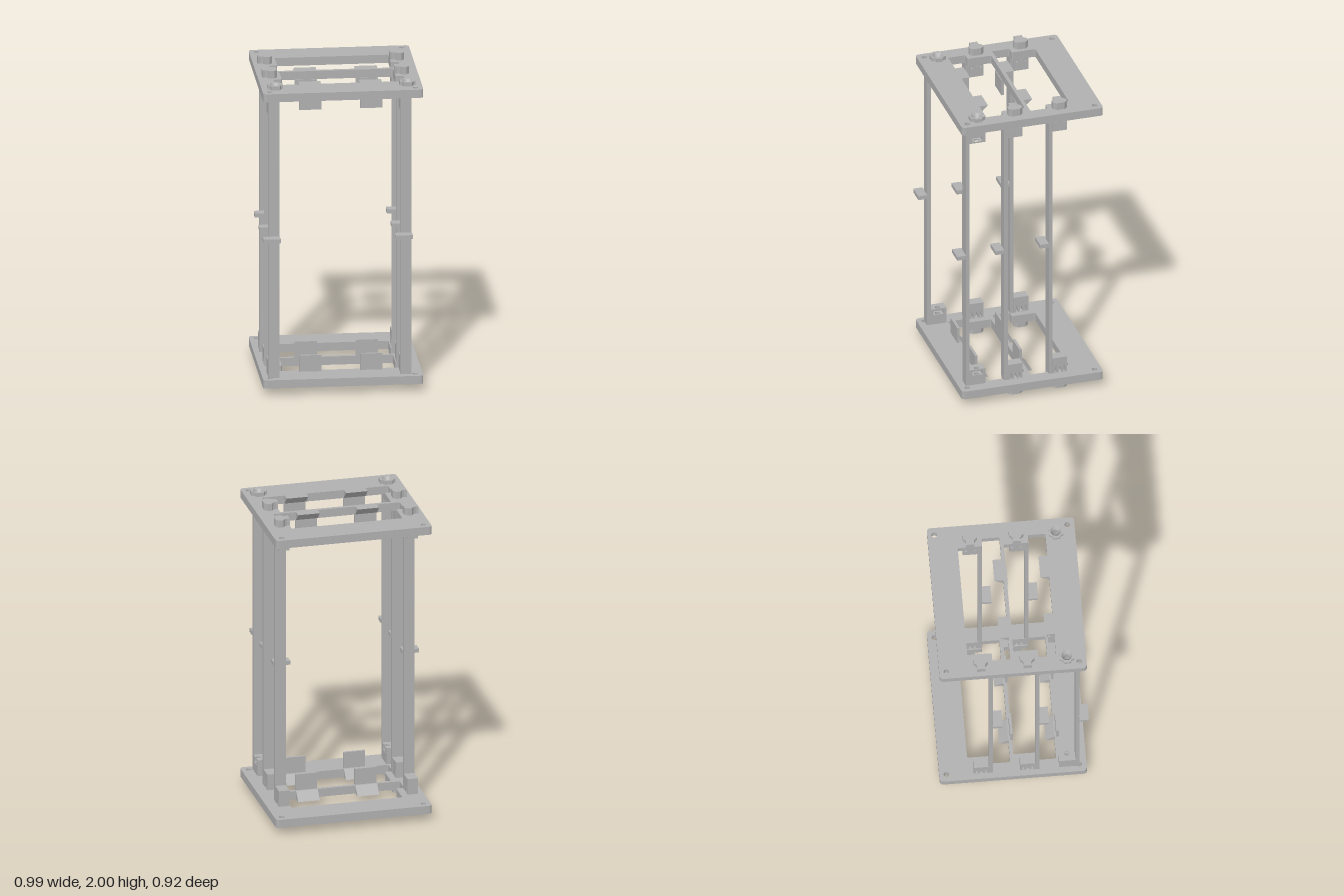
import * as THREE from 'three';

const grey = new THREE.MeshStandardMaterial({ color: 0xb0b0b0, side: THREE.DoubleSide });
grey.name = 'plastic grey';

// Closed path from [x, z] points (shape y = -z)
const flat = (pts, Type = THREE.Shape) => new Type(pts.map(([x, z]) => new THREE.Vector2(x, -z)));
const rect = (x0, x1, z0, z1) => [[x0, z0], [x1, z0], [x1, z1], [x0, z1]];
const hole = (x, z, r) => new THREE.Path().absarc(x, -z, r, 0, Math.PI * 2, true);

// Path with rounded corners
function rounded(pts, r, Type) {
  const path = new Type();
  const v = pts.map(([x, z]) => new THREE.Vector2(x, -z));
  v.forEach((p, i) => {
    const a = v[(i + v.length - 1) % v.length], b = v[(i + 1) % v.length];
    const s = p.clone().add(a.clone().sub(p).setLength(r));
    const e = p.clone().add(b.clone().sub(p).setLength(r));
    if (i) path.lineTo(s.x, s.y); else path.moveTo(s.x, s.y);
    path.quadraticCurveTo(p.x, p.y, e.x, e.y);
  });
  path.closePath();
  return path;
}

function add(group, name, geometry) {
  const mesh = new THREE.Mesh(geometry, grey);
  mesh.name = name;
  group.add(mesh);
  return mesh;
}

// Upright prism from an x-z outline
function prism(shape, y0, y1) {
  const g = new THREE.ExtrudeGeometry(shape, { depth: Math.abs(y1 - y0), bevelEnabled: false, curveSegments: 8 });
  return g.rotateX(-Math.PI / 2).translate(0, Math.min(y0, y1), 0);
}

// Sideways prism from a z-y outline
function sidePrism(shape, x0, x1) {
  const g = new THREE.ExtrudeGeometry(shape, { depth: x1 - x0, bevelEnabled: false });
  return g.rotateY(Math.PI / 2).translate(x0, 0, 0);
}
const side = (pts, Type = THREE.Shape) => new Type(pts.map(([z, y]) => new THREE.Vector2(-z, y)));

function box(x0, x1, y0, y1, z0, z1) {
  const g = new THREE.BoxGeometry(x1 - x0, Math.abs(y1 - y0), z1 - z0);
  return g.translate((x0 + x1) / 2, (y0 + y1) / 2, (z0 + z1) / 2);
}

const COLUMNS = [0, 0.82];          // x shift of the right-hand set of rails
const SCREW_X = -0.412, SCREW_Z = 0.331;

// End plate with stepped windows, upright tabs and ramps
function plate(group, Y) {
  const shape = rounded(rect(-0.497, 0.497, -0.462, 0.45), 0.025, THREE.Shape);
  for (const z of [-0.281, 0.004]) {
    const window = [[-0.352, z], [0.352, z], [0.352, z + 0.152], [0.402, z + 0.152],
      [0.402, z + 0.262], [-0.402, z + 0.262], [-0.402, z + 0.152], [-0.352, z + 0.152]];
    shape.holes.push(rounded(window, 0.009, THREE.Path));
  }
  for (const x of [-0.451, 0.451]) for (const z of [-0.418, 0.405]) shape.holes.push(hole(x, z, 0.017));
  for (const dx of COLUMNS) shape.holes.push(hole(SCREW_X + dx, SCREW_Z, 0.016));
  add(group, 'endPlate', prism(shape, Y(0.047), Y(0.1)));

  for (const z of [-0.019, 0.266]) {
    for (const x of [-0.258, 0.12]) {
      add(group, 'cardTab', box(x, x + 0.138, Y(0.1), Y(0.205), z + 0.012, z + 0.028));
      const ramp = side([[z, Y(0.1)], [z, Y(0.047)], [z - 0.055, Y(0.047)]]);
      add(group, 'cardRamp', sidePrism(ramp, x, x + 0.138));
    }
  }
}

// Slotted block and snap knob at the end of a rear or middle rail
function snapEnd(group, Y, z) {
  const block = side([[z - 0.046, Y(0.1)], [z + 0.047, Y(0.1)], [z + 0.047, Y(0.203)], [z - 0.046, Y(0.203)]]);
  for (const s of [-1, 1]) {
    const c = z + s * 0.028;
    block.holes.push(side([[c - 0.005, Y(0.102)], [c + 0.005, Y(0.102)], [c + 0.005, Y(0.145)], [c - 0.005, Y(0.145)]], THREE.Path));
  }
  block.holes.push(side([[z - 0.013, Y(0.102)], [z + 0.013, Y(0.102)], [z, Y(0.14)]], THREE.Path));
  add(group, 'snapBlock', sidePrism(block, -0.46, -0.394));

  const half = [[-0.468, 0.027], [-0.452, 0.024], [-0.436, 0.028], [-0.423, 0.045], [-0.397, 0.045], [-0.379, 0.024]];
  const outline = [...half, ...half.map(([x, w]) => [x, -w]).reverse()].map(([x, w]) => [x, z + w]);
  add(group, 'snapKnob', prism(flat(outline), Y(0), Y(0.047)));
}

// Bored block with nut pocket, and countersunk collar, at the end of a front rail
function screwEnd(group, Y) {
  const solid = () => {
    const s = flat(rect(-0.46, -0.394, 0.28, 0.386));
    s.holes.push(hole(SCREW_X, SCREW_Z, 0.016));
    return s;
  };
  add(group, 'screwBlock', prism(solid(), Y(0.1), Y(0.165)));
  add(group, 'screwBlockEnd', prism(solid(), Y(0.195), Y(0.205)));
  const pocket = [[-0.46, 0.28], [-0.394, 0.28], [-0.394, 0.298], [-0.44, 0.298],
    [-0.44, 0.364], [-0.394, 0.364], [-0.394, 0.386], [-0.46, 0.386]];
  add(group, 'nutPocket', prism(flat(pocket), Y(0.165), Y(0.195)));

  const q = [[0.048, 0.02], [0.035, 0.023], [0.024, 0.046]];
  const outline = [...q, ...q.map(([x, z]) => [-x, z]).reverse(),
    ...q.map(([x, z]) => [-x, -z]), ...q.map(([x, z]) => [x, -z]).reverse()];
  const collar = flat(outline.map(([x, z]) => [x + SCREW_X, z + SCREW_Z]));
  collar.holes.push(hole(SCREW_X, SCREW_Z, 0.034));
  add(group, 'screwCollar', prism(collar, Y(0.022), Y(0.047)));
  const sink = [new THREE.Vector2(0.016, Y(0.05)), new THREE.Vector2(0.034, Y(0.022))];
  if (sink[0].y > sink[1].y) sink.reverse();
  add(group, 'countersink', new THREE.LatheGeometry(sink, 24).translate(SCREW_X, 0, SCREW_Z));
}

export function createModel() {
  const model = new THREE.Group();
  model.name = 'cardRack';
  const ends = { bottom: y => y, top: y => 2 - y };

  for (const [name, Y] of Object.entries(ends)) {
    const end = new THREE.Group();
    end.name = name + 'End';
    plate(end, Y);
    model.add(end);
  }

  // Six rails, each with a small label handle at mid height
  for (const dx of COLUMNS) {
    for (const front of [0.405, 0.158, -0.13]) {
      const rail = new THREE.Group();
      rail.name = 'rail';
      rail.position.x = dx;
      add(rail, 'post', box(-0.462, -0.394, 0.1, 1.9, front - 0.024, front));
      add(rail, 'handle', box(-0.497, -0.39, 0.99, 1.016, front - 0.002, front + 0.057));
      for (const Y of Object.values(ends)) {
        if (front > 0.3) screwEnd(rail, Y);
        else snapEnd(rail, Y, front - 0.073);
      }
      model.add(rail);
    }
  }
  return model;
}
